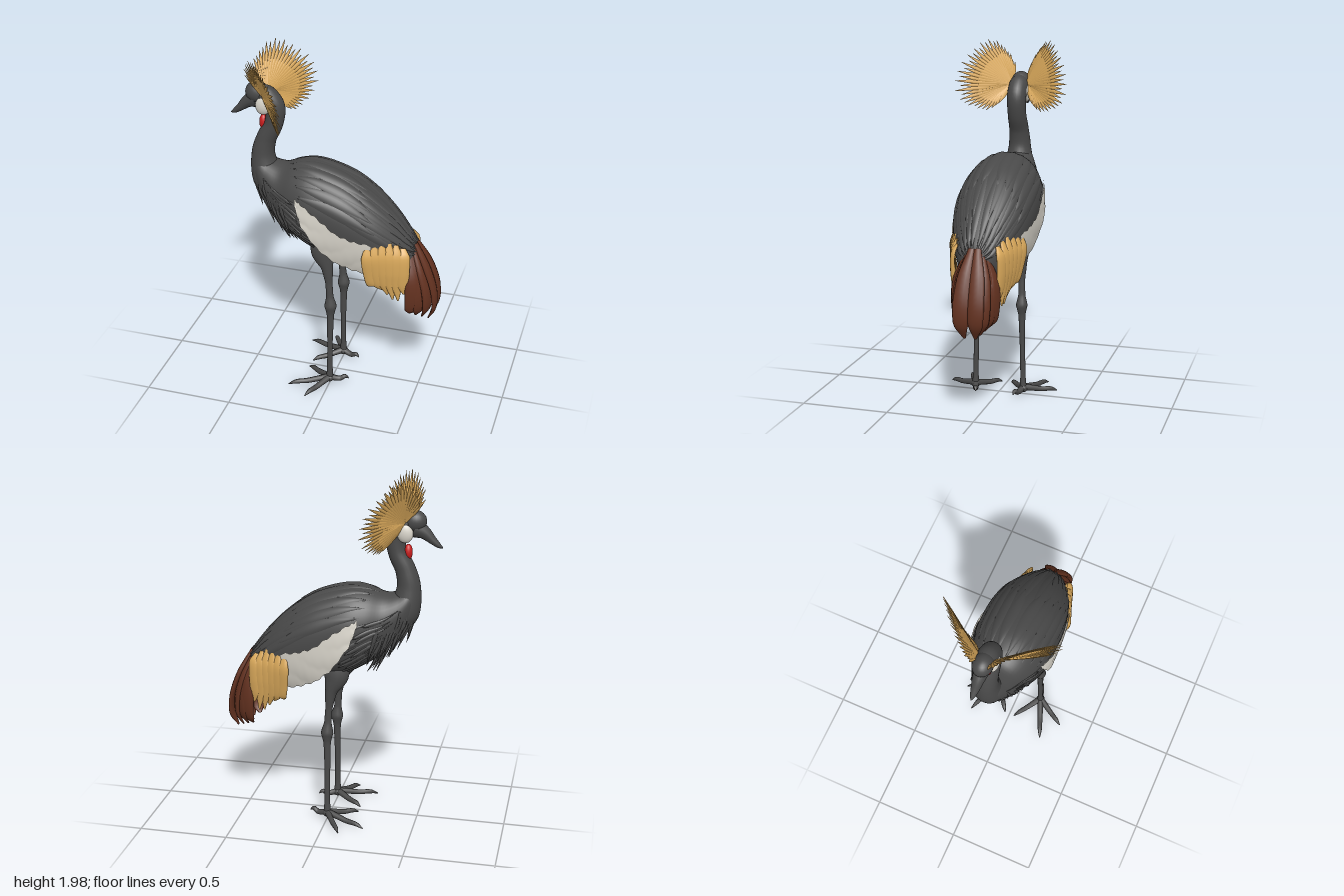
import * as THREE from 'three';
import { mergeGeometries, mergeVertices } from 'three/addons/utils/BufferGeometryUtils.js';

const material = (name, color) => new THREE.MeshStandardMaterial({ name, color, side: THREE.DoubleSide });
const V = (x, y, z) => new THREE.Vector3(x, y, z);
const lerp = THREE.MathUtils.lerp;

// Surface from a rule fn(u, v); v-direction x u-direction points outward
function grid(nu, nv, fn) {
  const pos = [], idx = [];
  for (let i = 0; i <= nu; i++) for (let j = 0; j <= nv; j++) pos.push(...fn(i / nu, j / nv).toArray());
  for (let i = 0; i < nu; i++) for (let j = 0; j < nv; j++) {
    const a = i * (nv + 1) + j, d = a + nv + 1;
    idx.push(a, a + 1, d, a + 1, d + 1, d);
  }
  let g = new THREE.BufferGeometry();
  g.setAttribute('position', new THREE.Float32BufferAttribute(pos, 3));
  g.setIndex(idx);
  g = mergeVertices(g, 1e-5);
  g.computeVertexNormals();
  return g;
}

// Piecewise value of a list at u in 0..1
function at(list, u) {
  const f = u * (list.length - 1), i = Math.min(Math.floor(f), list.length - 2);
  return lerp(list[i], list[i + 1], f - i);
}

// Elliptical sweep along points; a = radii along 'side', b = radii across it
function loft(points, a, b, side, n = 8, steps = 12) {
  const curve = new THREE.CatmullRomCurve3(points.map(p => V(...p)));
  return grid(steps, n, (u, v) => {
    const c = curve.getPoint(u), T = curve.getTangent(u);
    const A = side.clone().addScaledVector(T, -side.dot(T)).normalize();
    const B = T.clone().cross(A), w = v * Math.PI * 2;
    return c.addScaledVector(A, at(a, u) * Math.cos(w)).addScaledVector(B, at(b, u) * Math.sin(w));
  });
}

function ellipsoid(x, y, z, rx, ry, rz, tilt = 0) {
  const g = new THREE.SphereGeometry(1, 24, 16);
  g.deleteAttribute('uv');
  return g.scale(rx, ry, rz).rotateZ(tilt).translate(x, y, z);
}

// Copy across the z = 0 plane with corners reordered
function mirrored(g) {
  const m = g.clone().scale(1, 1, -1), id = m.index.array;
  for (let i = 0; i < id.length; i += 3) [id[i], id[i + 1]] = [id[i + 1], id[i]];
  m.computeVertexNormals();
  return m;
}

export function createModel() {
  const model = new THREE.Group();
  model.name = 'crownedBird';
  const dark = material('charcoal', 0x494949), white = material('offWhite', 0xdad6cc);
  const gold = material('gold', 0xdaa95b), brown = material('chestnut', 0x643220), red = material('red', 0xc81c1c);
  let seed = 7;
  const rand = () => (seed = (seed * 16807) % 2147483647) / 2147483647;

  const add = (name, geo, mat) => {
    const mesh = new THREE.Mesh(Array.isArray(geo) ? mergeGeometries(geo) : geo, mat);
    mesh.name = name;
    model.add(mesh);
  };
  const addPair = (name, geo, mat) => {
    const g = Array.isArray(geo) ? mergeGeometries(geo) : geo;
    add(name + 'Left', mirrored(g), mat);
    add(name + 'Right', g, mat);
  };

  // Body stations: x, top, bottom, half width
  const stations = [
    [-0.49, 1.36, 1.27, 0.02], [-0.45, 1.39, 1.19, 0.07], [-0.38, 1.36, 1.09, 0.115], [-0.30, 1.345, 1.01, 0.15],
    [-0.22, 1.372, 0.95, 0.19], [-0.13, 1.385, 0.90, 0.217], [0, 1.36, 0.865, 0.223], [0.12, 1.31, 0.83, 0.217],
    [0.25, 1.215, 0.795, 0.19], [0.36, 1.105, 0.765, 0.14], [0.44, 1.0, 0.78, 0.088], [0.48, 0.94, 0.84, 0.04]];
  const profile = new THREE.CubicInterpolant(stations.map(s => s[0]), stations.flatMap(s => s.slice(1)), 3);
  // Point on the body: t runs from the back (0) down the side to the belly (PI)
  function onBody(x, t, off = 0, k = 1) {
    const [top, bot, hw] = profile.evaluate(x);
    const c = Math.cos(t), s = Math.sin(t);
    const fat = Math.sign(s) * Math.pow(Math.abs(s), c < 0 ? 0.65 : 1);
    return V(x, (top + bot) / 2 + k * ((top - bot) / 2 + off) * c, k * (hw + off) * fat);
  }
  add('body', grid(60, 40, (u, v) =>
    onBody(lerp(-0.49, 0.48, u), v * Math.PI * 2, 0, u === 0 || u === 1 ? 0 : 1)), dark);

  // Broad feathers lying on the back and wings
  const layFeather = (x0, x1, t0, t1, w, lift) => grid(16, 8, (u, v) => {
    const e = v * 2 - 1;
    const half = w * Math.pow(Math.max(0, Math.sin(Math.PI * Math.pow(u, 1.4))), 0.6);
    return onBody(lerp(x0, x1, u), lerp(t0, t1, u) + e * half, -0.004 + lift * (1 - e * e) * (0.5 + 0.5 * u));
  });
  const coverts = [];
  for (let row = 0; row < 3; row++) for (let i = 0; i < 5; i++) {
    const t = 0.16 + i * 0.25 + (row % 2) * 0.08, x = -0.27 + row * 0.17 + 0.02 * i;
    coverts.push(layFeather(x, Math.min(0.478, x + 0.46), t, t + 0.06, 0.19, 0.012));
  }
  for (let i = 0; i < 12; i++) { // breast side feathers
    const x = -0.4 + rand() * 0.17, t = 1.2 + i * 0.12;
    coverts.push(layFeather(x, x + 0.2, t, t + 0.2, 0.08, 0.01));
  }
  addPair('wingCoverts', coverts, dark);

  // Pale wing panel: x, upper edge, lower edge
  const xs = [-0.18, -0.14, -0.04, 0.06, 0.15, 0.25];
  const upper = [1.235, 1.215, 1.15, 1.07, 1.035, 1.01], lower = [1.2, 1.09, 0.945, 0.86, 0.82, 0.79];
  addPair('paleWingPanel', grid(40, 16, (u, v) => {
    const x = at(xs, u), jag = 0.006 * Math.sin(u * 55);
    const y = lerp(at(upper, u) + jag, at(lower, u) + jag, v);
    const hw = profile.evaluate(x)[2];
    const bump = 0.004 * Math.abs(Math.sin(u * 11 + v * 5)) * v;
    return V(x, y, (hw + 0.011 + bump) * Math.sqrt(1 - Math.pow((y - 1.1) / 0.42, 2)));
  }), white);

  // Golden feathers hanging behind the pale panel
  const goldPlumes = [], underPlumes = [];
  const hem = [0.745, 0.71, 0.68, 0.65, 0.645, 0.69];
  for (let i = 0; i < 6; i++) {
    const f = i / 5, bulge = 0.03 * Math.sin(f * Math.PI);
    goldPlumes.push(loft([
      [0.23 + 0.18 * f, 0.995 + bulge - 0.02 * f, 0.19 - 0.08 * f], [0.235 + 0.185 * f, 0.93, 0.202 - 0.07 * f],
      [0.245 + 0.175 * f, 0.83, 0.186 - 0.05 * f], [0.26 + 0.16 * f, 0.75, 0.165 - 0.035 * f],
      [0.275 + 0.15 * f, hem[i], 0.145 - 0.02 * f]],
    [0.014, 0.037, 0.037, 0.034, 0.005], [0.006, 0.013, 0.014, 0.012, 0.003], V(1, 0, -0.4), 10, 18));
    underPlumes.push(loft([[0.26 + 0.1 * f, 0.95, 0.06], [0.31 + 0.1 * f, 0.82, 0.12 - 0.12 * f],
      [0.35 + 0.08 * f, 0.68, 0.09 - 0.09 * f]], [0.03, 0.04, 0.004], [0.02, 0.014, 0.003], V(1, 0, 0.5), 8, 10));
  }
  addPair('goldenPlumes', goldPlumes, gold);
  addPair('underTailPlumes', underPlumes, dark);

  // Drooping tail, from the middle feather to the side
  const tail = [];
  for (let i = 0; i < 4; i++) {
    const f = i / 3, turn = f * 1.15;
    tail.push(loft([
      [0.458 - 0.02 * f, 0.965 - 0.05 * f, 0.015 + 0.045 * f], [0.53 - 0.07 * f, 0.83 - 0.04 * f, 0.035 + 0.07 * f],
      [0.578 - 0.105 * f, 0.69 - 0.01 * f, 0.042 + 0.07 * f], [0.583 - 0.115 * f, 0.58, 0.04 + 0.06 * f],
      [0.55 - 0.1 * f, 0.5 + 0.04 * f, 0.03 + 0.045 * f]],
    [0.02, 0.04, 0.046, 0.042, 0.008], [0.012, 0.018, 0.016, 0.013, 0.004], V(-Math.sin(turn), 0, Math.cos(turn)), 10, 18));
  }
  addPair('tailFeathers', tail, brown);

  // Ragged plumes hanging from the breast
  const plumes = [];
  for (let i = 0; i < 26; i++) {
    const x = -0.465 + 0.2 * (i / 25), r = onBody(x, 1.7 + rand() * 1.35, -0.004);
    const len = 0.1 + rand() * 0.06, back = 0.03 + rand() * 0.05;
    plumes.push(loft([[r.x - 0.01, r.y + 0.07, r.z * 0.95], [r.x, r.y, r.z + 0.004],
      [r.x + back * 0.5, r.y - len * 0.5, r.z], [r.x + back, r.y - len, r.z * 0.95]],
    [0.006, 0.012, 0.008, 0.001], [0.006, 0.008, 0.005, 0.001], V(1, 0, 0), 5, 8));
  }
  addPair('breastPlumes', plumes, dark);

  // Neck, head and bill
  add('neck', loft([[-0.45, 1.755, 0], [-0.4, 1.735, 0], [-0.352, 1.68, 0], [-0.358, 1.58, 0], [-0.405, 1.48, 0],
    [-0.425, 1.38, 0], [-0.4, 1.25, 0], [-0.34, 1.18, 0]],
  [0.04, 0.056, 0.055, 0.053, 0.056, 0.064, 0.088, 0.08], [0.045, 0.06, 0.056, 0.051, 0.056, 0.066, 0.09, 0.09],
  V(0, 0, 1), 24, 40), dark);
  add('head', ellipsoid(-0.45, 1.752, 0, 0.066, 0.06, 0.055), dark);
  add('bill', loft([[-0.455, 1.715, 0], [-0.505, 1.69, 0], [-0.55, 1.65, 0], [-0.585, 1.622, 0], [-0.605, 1.612, 0]],
    [0.046, 0.034, 0.024, 0.014, 0.003], [0.055, 0.036, 0.022, 0.013, 0.003], V(0, 0, 1), 14, 18), dark);
  addPair('cheek', ellipsoid(-0.402, 1.693, 0.038, 0.046, 0.056, 0.028, -0.25), white);
  add('wattle', ellipsoid(-0.418, 1.578, 0, 0.024, 0.046, 0.026), red);

  // Fan crests: spines spread from beside the crown to an arc of tips
  const tips = new THREE.CatmullRomCurve3([[-0.5, 1.86, 0.05], [-0.49, 1.93, 0.09], [-0.425, 1.995, 0.165],
    [-0.36, 1.98, 0.225], [-0.29, 1.925, 0.28], [-0.235, 1.845, 0.315], [-0.205, 1.755, 0.33],
    [-0.215, 1.665, 0.31], [-0.25, 1.61, 0.235], [-0.29, 1.6, 0.15], [-0.325, 1.635, 0.1]].map(p => V(...p)));
  const spines = [], count = 34, root = V(-0.405, 1.745, 0.045);
  for (let i = 0; i < count; i++) {
    const long = i % 2 ? 0.88 + 0.08 * rand() : 0.96 + 0.04 * rand();
    const tip = root.clone().lerp(tips.getPointAt(i / (count - 1)), long);
    const path = [0, 0.25, 0.5, 0.75, 1].map(k => root.clone().lerp(tip, k).toArray());
    spines.push(loft(path, [0.004, 0.004, 0.004, 0.004, 0.001], [0.007, 0.012, 0.015, 0.0115, 0.001],
      V(1, 0.39, -0.75), 6, 12));
  }
  addPair('crestFan', spines, gold);

  // Legs with swollen joints
  const shank = [0.085, 0.074, 0.035, 0.02, 0.021, 0.036, 0.021, 0.016, 0.016, 0.022];
  addPair('leg', loft([[-0.03, 0.97, 0.095], [-0.045, 0.88, 0.115], [-0.02, 0.79, 0.125], [-0.008, 0.69, 0.13],
    [-0.002, 0.6, 0.132], [0.002, 0.54, 0.133], [0.002, 0.48, 0.134], [0, 0.3, 0.137], [0, 0.12, 0.141], [0, 0.04, 0.143]],
  shank, shank.map((r, i) => i < 2 ? r * 0.65 : r * 0.92), V(1, 0, 0), 14, 50), dark);

  // Three spread front toes and a raised hind toe
  const toes = [[-0.1, 0.014, 0.318], [-0.225, 0.014, 0.235], [-0.16, 0.014, 0.03], [0.105, 0.038, 0.11]].map(([x, y, z]) => {
    const q = (k, h) => [x * k, h, lerp(0.143, z, k)];
    const r = [0.02, 0.017, 0.015, 0.013, 0.003];
    return loft([q(0, 0.05), q(0.25, 0.042), q(0.55, 0.026 + y * 0.3), q(0.82, y + 0.014), q(1, y)], r, r, V(0, 1, 0), 8, 14);
  });
  addPair('foot', [ellipsoid(0, 0.045, 0.143, 0.026, 0.024, 0.026), ...toes], dark);

  return model;
}
